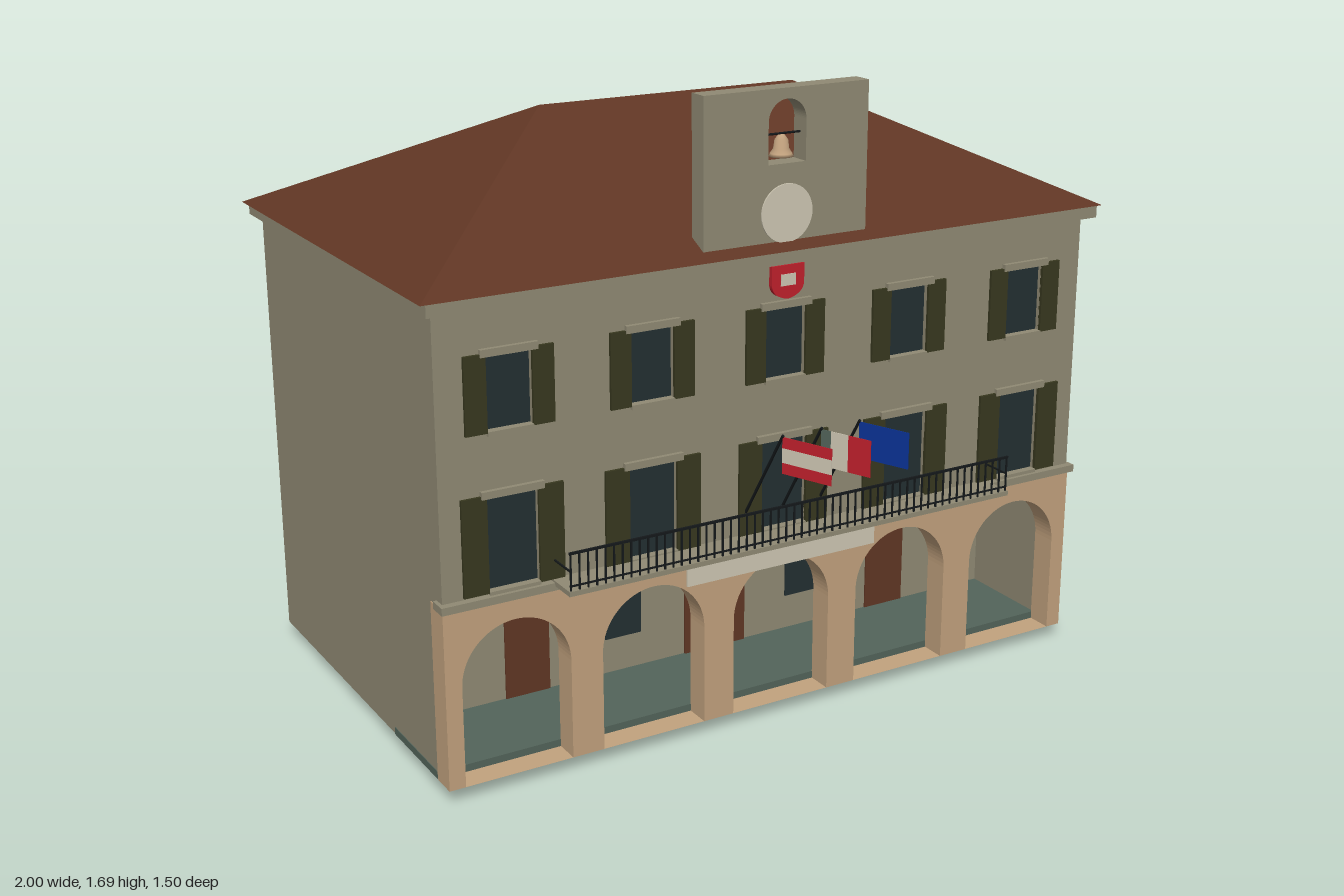
import * as THREE from 'three';

const mat = (name, color) => {
  const m = new THREE.MeshStandardMaterial({ color });
  m.name = name;
  return m;
};

export function createModel() {
  const wall = mat('stone wall', 0x908a74);
  const peach = mat('peach plaster', 0xc2a27e);
  const brown = mat('roof brown', 0x603624);
  const cream = mat('cream', 0xcfc8b4);
  const glass = mat('dark glass', 0x232f32);
  const olive = mat('olive shutter', 0x38381f);
  const green = mat('grey green', 0x53645a);
  const iron = mat('black iron', 0x14181a);
  const red = mat('red', 0xc0202c);
  const blue = mat('blue', 0x0a3396);

  const model = new THREE.Group();
  const group = (name, parent = model) => {
    const g = new THREE.Group();
    g.name = name;
    parent.add(g);
    return g;
  };
  const add = (name, geo, material, parent = model) => {
    const m = new THREE.Mesh(geo, material);
    m.name = name;
    parent.add(m);
    return m;
  };
  // box from its minimum and maximum on each axis
  const box = (name, material, x0, x1, y0, y1, z0, z1, parent = model) => {
    const m = add(name, new THREE.BoxGeometry(x1 - x0, y1 - y0, z1 - z0), material, parent);
    m.position.set((x0 + x1) / 2, (y0 + y1) / 2, (z0 + z1) / 2);
    return m;
  };
  const trace = (path, pts) => {
    pts.forEach(([x, y], i) => (i ? path.lineTo(x, y) : path.moveTo(x, y)));
    path.closePath();
    return path;
  };
  const rect = (path, x0, x1, y0, y1) => trace(path, [[x0, y0], [x1, y0], [x1, y1], [x0, y1]]);
  // upright opening with a round top
  const arch = (path, x, r, y0, spring) => {
    path.moveTo(x - r, y0);
    path.lineTo(x + r, y0);
    path.lineTo(x + r, spring);
    path.absarc(x, spring, r, 0, Math.PI, false);
    path.closePath();
    return path;
  };
  const extrude = (name, shape, material, z0, z1, parent = model) => {
    const geo = new THREE.ExtrudeGeometry(shape, { depth: z1 - z0, bevelEnabled: false, curveSegments: 20 });
    const m = add(name, geo, material, parent);
    m.position.z = z0;
    return m;
  };
  const rod = (name, a, b, r, parent) => {
    const p = new THREE.Vector3(...a), q = new THREE.Vector3(...b);
    const d = q.clone().sub(p);
    const m = add(name, new THREE.CylinderGeometry(r, r, d.length(), 6), iron, parent);
    m.position.copy(p).add(q).multiplyScalar(0.5);
    m.quaternion.setFromUnitVectors(new THREE.Vector3(0, 1, 0), d.normalize());
  };

  const bays = [-0.77, -0.385, 0, 0.385, 0.77];
  const floors = [{ y0: 0.54, y1: 0.79, w: 0.068, s: 0.135 }, { y0: 0.945, y1: 1.14, w: 0.06, s: 0.117 }];

  // hollow shell of the house, open underneath
  for (const s of [-1, 1]) {
    const [a, b] = s < 0 ? [-0.96, -0.925] : [0.925, 0.96];
    box('sideWall', wall, a, b, 0.04, 1.255, -0.705, 0.375);
    box('sideWallFront', wall, a, b, 0.52, 1.255, 0.375, 0.41);
  }
  box('backWall', wall, -0.925, 0.925, 0.04, 1.255, -0.705, -0.67);
  const front = rect(new THREE.Shape(), -0.96, 0.96, 0.52, 1.255);
  for (const x of bays) for (const f of floors) {
    front.holes.push(rect(new THREE.Path(), x - f.w, x + f.w, f.y0, f.y1));
  }
  extrude('frontWall', front, wall, 0.41, 0.442);

  // windows with shutters, lintels and sills
  for (const x of bays) for (const f of floors) {
    const g = group('window');
    box('pane', glass, x - f.w, x + f.w, f.y0, f.y1, 0.413, 0.43, g);
    for (const s of [-1, 1]) {
      const e = [x + s * f.w, x + s * f.s].sort((p, q) => p - q);
      box('shutter', olive, e[0], e[1], f.y0, f.y1, 0.44, 0.45, g);
    }
    box('lintel', wall, x - f.w - 0.015, x + f.w + 0.015, f.y1 - 0.007, f.y1 + 0.012, 0.44, 0.454, g);
    box('sill', wall, x - f.w, x + f.w, f.y0 - 0.008, f.y0 + 0.004, 0.41, 0.452, g);
  }

  // arcade with five arches
  const arcade = trace(new THREE.Shape(), [[-0.962, 0.04], [0.962, 0.04], [0.962, 0.52], [-0.962, 0.52]]);
  for (const x of bays) arcade.holes.push(arch(new THREE.Path(), x, 0.148, 0.0402, 0.309));
  extrude('arcade', arcade, peach, 0.375, 0.446);

  // portico floor, inner wall and its doors and windows
  box('porticoFloor', green, -0.962, 0.962, 0.04, 0.06, 0.1, 0.376);
  box('innerWall', wall, -0.925, 0.925, 0.04, 0.5, 0.09, 0.1);
  box('mainDoor', brown, -0.097, 0.097, 0, 0.33, 0.086, 0.106);
  const tympanum = new THREE.Shape();
  tympanum.moveTo(0.097, 0.28);
  tympanum.absarc(0, 0.27, 0.1, 0.1, Math.PI - 0.1, false);
  tympanum.closePath();
  extrude('doorArch', tympanum, wall, 0.088, 0.104);
  for (const s of [-1, 1]) {
    box('sideDoor', brown, s * 0.58 - 0.065, s * 0.58 + 0.065, 0.04, 0.315, 0.086, 0.104);
    box('porticoWindow', glass, s * 0.29 - 0.055, s * 0.29 + 0.055, 0.16, 0.315, 0.086, 0.104);
  }

  // string course, balcony and banner
  box('stringCourse', wall, -0.97, 0.97, 0.515, 0.535, 0.41, 0.462);
  box('balconySlab', wall, -0.67, 0.67, 0.527, 0.54, 0.44, 0.54);
  box('banner', cream, -0.29, 0.29, 0.435, 0.512, 0.446, 0.451);
  const railing = group('railing');
  box('topRail', iron, -0.667, 0.667, 0.634, 0.64, 0.532, 0.538, railing);
  box('lowRail', iron, -0.667, 0.667, 0.55, 0.554, 0.533, 0.537, railing);
  for (const s of [-1, 1]) {
    box('sideRail', iron, s * 0.664 - 0.002, s * 0.664 + 0.002, 0.588, 0.592, 0.442, 0.536, railing);
  }
  for (let i = 0; i <= 56; i++) {
    const x = -0.664 + (i * 1.328) / 56;
    box('baluster', iron, x - 0.002, x + 0.002, 0.54, 0.636, 0.533, 0.537, railing);
  }

  // three flags on slanted poles; stripes are [colour, u0, u1, v0, v1]
  const flags = [
    [-0.115, [[red, 0, 1, 0, 0.3], [cream, 0, 1, 0.3, 0.7], [red, 0, 1, 0.7, 1]]],
    [0, [[green, 0, 0.2, 0, 1], [cream, 0.2, 0.55, 0, 1], [red, 0.55, 1, 0, 1]]],
    [0.115, [[blue, 0, 1, 0, 1]]],
  ];
  for (const [x, stripes] of flags) {
    const g = group('flag');
    rod('pole', [x, 0.6, 0.445], [x, 0.863, 0.617], 0.004, g);
    const cloth = group('cloth', g);
    cloth.position.set(x, 0.763, 0.615);
    cloth.rotation.y = -Math.atan2(0.135, 0.055);
    for (const [m, u0, u1, v0, v1] of stripes) {
      box('stripe', m, u0 * 0.146, u1 * 0.146, v0 * 0.096, v1 * 0.096, -0.001, 0.001, cloth);
    }
  }

  // plain shield above the middle window
  const shield = new THREE.Shape();
  shield.moveTo(-0.048, 1.245);
  shield.lineTo(-0.048, 1.195);
  shield.quadraticCurveTo(-0.045, 1.165, 0, 1.157);
  shield.quadraticCurveTo(0.045, 1.165, 0.048, 1.195);
  shield.lineTo(0.048, 1.245);
  shield.closePath();
  extrude('shield', shield, red, 0.442, 0.455);
  box('shieldPatch', cream, -0.022, 0.022, 1.192, 1.222, 0.454, 0.457);

  // cornice and hipped roof
  box('cornice', wall, -0.985, 0.985, 1.253, 1.286, -0.737, 0.476);
  const A = [-1, 1.286, 0.48], B = [1, 1.286, 0.48], C = [1, 1.286, -0.75], D = [-1, 1.286, -0.75];
  const L = [-0.39, 1.592, -0.135], R = [0.39, 1.592, -0.135];
  const roof = new THREE.BufferGeometry();
  const faces = [[A, B, R], [A, R, L], [B, C, R], [C, D, L], [C, L, R], [D, A, L], [A, D, C], [A, C, B]];
  roof.setAttribute('position', new THREE.Float32BufferAttribute(faces.flat(2), 3));
  roof.computeVertexNormals();
  add('roof', roof, brown);

  // bell gable with clock face and bell
  const gable = rect(new THREE.Shape(), -0.24, 0.24, 1.29, 1.687);
  gable.holes.push(arch(new THREE.Path(), 0, 0.055, 1.5, 1.605));
  extrude('bellGable', gable, wall, 0.388, 0.443);
  const clock = add('clockFace', new THREE.CylinderGeometry(0.075, 0.075, 0.006, 40), cream);
  clock.rotation.x = Math.PI / 2;
  clock.position.set(0, 1.375, 0.444);
  const profile = [[0, 0], [0.031, 0], [0.028, 0.008], [0.02, 0.02], [0.017, 0.042], [0.008, 0.054], [0, 0.056]];
  const bell = add('bell', new THREE.LatheGeometry(profile.map(p => new THREE.Vector2(...p)), 20), peach);
  bell.position.set(0, 1.513, 0.415);
  rod('bellAxle', [-0.055, 1.57, 0.415], [0.055, 1.57, 0.415], 0.003, model);

  return model;
}
